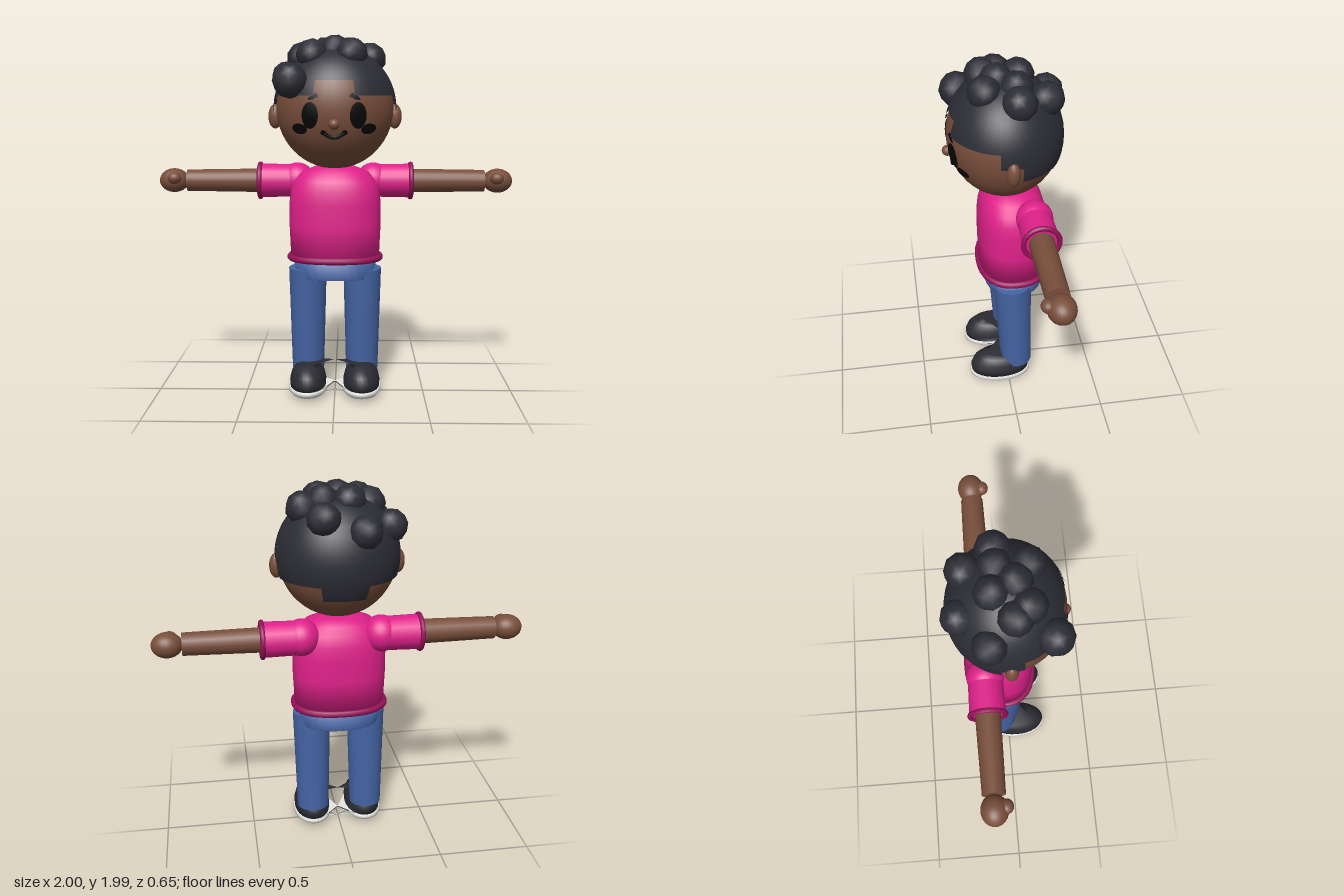
import * as THREE from 'three';
import { mergeVertices } from 'three/addons/utils/BufferGeometryUtils.js';

const V = (x, y, z) => new THREE.Vector3(x, y, z);
const HEAD_Y = 1.6, HEAD = V(0.32, 0.33, 0.298), HAIR = V(0.335, 0.335, 0.308);

function material(name, color, side = THREE.FrontSide) {
  const m = new THREE.MeshStandardMaterial({ color, side });
  m.name = name;
  return m;
}

// Ellipsoid by centre and radii
function ball(c, r, wide = 24, high = 16) {
  return new THREE.SphereGeometry(1, wide, high).scale(...r).translate(...c);
}

// Tapered cylinder between two points
function limb(a, b, ra, rb) {
  const dir = b.clone().sub(a);
  const g = new THREE.CylinderGeometry(rb, ra, dir.length(), 20);
  g.applyQuaternion(new THREE.Quaternion().setFromUnitVectors(V(0, 1, 0), dir.clone().normalize()));
  const mid = a.clone().lerp(b, 0.5);
  return g.translate(mid.x, mid.y, mid.z);
}

// Lathe with a rounded-square section; profile holds [fraction, y]
function loft(profile, rx, rz, cx, cz, power = 2.4) {
  const g = new THREE.LatheGeometry(profile.map(([r, y]) => new THREE.Vector2(r, y)), 32);
  const p = g.attributes.position;
  for (let i = 0; i < p.count; i++) {
    const x = p.getX(i), z = p.getZ(i), r = Math.hypot(x, z);
    if (r < 1e-6) continue;
    const f = (Math.abs(x / r) ** power + Math.abs(z / r) ** power) ** (-1 / power);
    p.setXYZ(i, x * f * rx + cx, p.getY(i), z * f * rz + cz);
  }
  g.deleteAttribute('uv');
  g.deleteAttribute('normal');
  const m = mergeVertices(g, 1e-5);
  m.computeVertexNormals();
  return m;
}

// Depth of the face surface at x, y
function faceZ(x, y) {
  const k = 1 - (x / HEAD.x) ** 2 - ((y - HEAD_Y) / HEAD.y) ** 2;
  return HEAD.z * Math.sqrt(Math.max(k, 0));
}

// Thin oval lying on the face
function facePatch(x, y, rx, ry, tilt = 0, lift = 0.009) {
  const g = new THREE.RingGeometry(0, 1, 24, 4).scale(rx, ry, 1).rotateZ(tilt).translate(x, y, 0);
  const p = g.attributes.position;
  for (let i = 0; i < p.count; i++) p.setZ(i, faceZ(p.getX(i), p.getY(i)) + lift);
  g.computeVertexNormals();
  return g;
}

export function createModel() {
  const model = new THREE.Group();
  model.name = 'figure';
  const skin = material('skin', 0x784e3b);
  const hair = material('dark hair', 0x2c2d35, THREE.DoubleSide);
  const black = material('face black', 0x060606, THREE.DoubleSide);
  const pink = material('shirt pink', 0xe0218a);
  const trim = material('trim magenta', 0x96125a);
  const denim = material('denim blue', 0x4564a4);
  const shoe = material('shoe dark', 0x2b2c33);
  const white = material('sole white', 0xe6e6e2);

  const add = (name, geometry, mat) => {
    const mesh = new THREE.Mesh(geometry, mat);
    mesh.name = name;
    model.add(mesh);
    return mesh;
  };

  // Head
  add('head', ball([0, HEAD_Y, 0], [HEAD.x, HEAD.y, HEAD.z], 40, 28), skin);
  add('nose', ball([0, 1.52, 0.295], [0.03, 0.028, 0.028], 16, 12), skin);

  // Hair cap: sectors [from, to, lower edge], degrees from the front
  const sectors = [[-19, 19, 1.745], [157, 203, 1.42]];
  for (const [a, b, y] of [[19, 78, 1.667], [78, 99.5, 1.585], [99.5, 157, 1.5]]) {
    sectors.push([a, b, y], [-b, -a, y]);
  }
  for (const [a, b, y] of sectors) {
    const rad = THREE.MathUtils.degToRad;
    const g = new THREE.SphereGeometry(1, Math.ceil((b - a) / 8), 14, rad(90 + a), rad(b - a),
      0, Math.acos((y - HEAD_Y) / HAIR.y));
    add('hairCap', g.scale(HAIR.x, HAIR.y, HAIR.z).translate(0, HEAD_Y, 0), hair);
  }

  // Curls [x, y, z, radius]
  const curls = [
    [-0.23, 1.745, 0.215, 0.095], [-0.265, 1.77, -0.1, 0.088], [-0.107, 1.77, -0.235, 0.09],
    [0.1, 1.835, -0.2, 0.09], [0.19, 1.865, -0.05, 0.09], [0.09, 1.885, 0.11, 0.088],
    [-0.05, 1.9, -0.075, 0.088], [0.085, 1.9, -0.05, 0.085], [0, 1.905, 0.04, 0.088],
    [-0.17, 1.865, 0.03, 0.09], [-0.12, 1.88, 0.1, 0.088],
  ];
  curls.forEach(([x, y, z, r], i) => {
    const g = new THREE.IcosahedronGeometry(r, 1).rotateY(i * 1.3).rotateX(i * 0.7);
    add('curl', g.translate(x, y, z), hair);
  });

  // Smile
  const smile = [-0.055, -0.03, 0, 0.03, 0.055].map((x) => {
    const y = 1.452 + 8 * x * x;
    return V(x, y, faceZ(x, y) + 0.002);
  });
  add('mouth', new THREE.TubeGeometry(new THREE.CatmullRomCurve3(smile), 20, 0.011, 8), black);

  // Torso
  add('shirt', loft([[0, 0.775], [0.97, 0.775], [1, 0.95], [1, 1.08], [0.96, 1.15], [0.87, 1.205],
    [0.72, 1.25], [0.45, 1.278], [0, 1.285]], 0.255, 0.187, 0, -0.04), pink);
  const hem = [];
  for (let i = 0; i <= 10; i++) {
    const a = -Math.PI / 2 + (i / 10) * Math.PI * 2;
    hem.push([1 + 0.075 * Math.cos(a), 0.772 + 0.018 * Math.sin(a)]);
  }
  add('shirtHem', loft(hem, 0.25, 0.19, 0, -0.042), trim);
  add('hips', loft([[0, 0.66], [0.9, 0.66], [0.9, 0.661], [1, 0.77], [0, 0.77]], 0.237, 0.182, 0, -0.045), denim);

  for (const s of [1, -1]) {
    // Face details
    add('ear', ball([s * 0.327, 1.555, 0], [0.038, 0.067, 0.036], 16, 12), skin);
    add('eye', facePatch(s * 0.125, 1.565, 0.043, 0.069), black);
    add('cheekMark', facePatch(s * 0.18, 1.495, 0.04, 0.027, s * 0.25, 0.012), black);
    add('brow', facePatch(s * 0.112, 1.657, 0.026, 0.01, s * -0.4), black);
    add('browTip', facePatch(s * 0.092, 1.668, 0.014, 0.009, s * 0.8), black);
    add('mouthCorner', facePatch(s * 0.056, 1.477, 0.014, 0.013), black);

    // Arm
    add('shoulder', ball([s * 0.215, 1.192, -0.13], [0.1, 0.1, 0.1]), pink);
    add('sleeve', limb(V(s * 0.21, 1.19, -0.13), V(s * 0.425, 1.19, -0.13), 0.092, 0.096), pink);
    const cuff = new THREE.TorusGeometry(0.094, 0.014, 8, 24).rotateY(Math.PI / 2);
    add('cuff', cuff.translate(s * 0.425, 1.19, -0.13), trim);
    add('arm', limb(V(s * 0.3, 1.19, -0.13), V(s * 0.84, 1.19, -0.13), 0.069, 0.061), skin);
    add('hand', ball([s * 0.917, 1.19, -0.132], [0.083, 0.068, 0.072]), skin);
    add('thumb', ball([s * 0.905, 1.208, -0.07], [0.04, 0.034, 0.036], 16, 12), skin);

    // Leg
    add('leg', limb(V(s * 0.153, 0.12, -0.05), V(s * 0.153, 0.71, -0.025), 0.09, 0.106), denim);

    // Shoe
    add('shoeUpper', loft([[0, 0.05], [0.95, 0.05], [0.97, 0.09], [0.88, 0.13], [0.68, 0.162],
      [0.4, 0.177], [0, 0.182]], 0.105, 0.178, s * 0.15, 0.047, 2.1), shoe);
    add('shoeSole', loft([[0, 0], [0.5, 0.006], [0.88, 0.018], [1, 0.034], [1, 0.05], [0.95, 0.056], [0, 0.056]],
      0.108, 0.179, s * 0.15, 0.047, 2.1), white);
  }
  return model;
}
